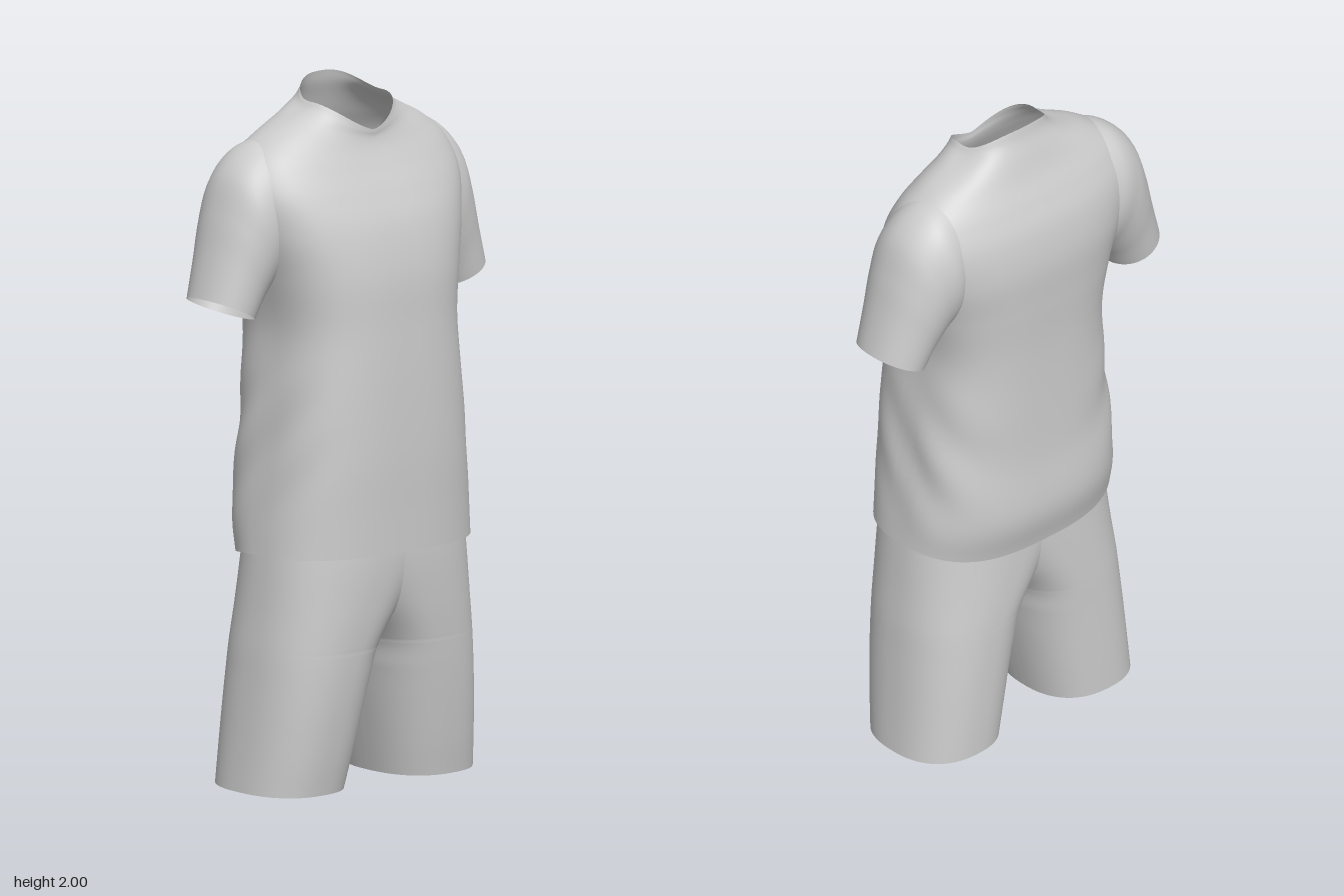
import * as THREE from 'three';

// Smooth interpolation through rows of numbers, by row index
function smoothRows(keys) {
  const interp = new THREE.CubicInterpolant(keys.map((_, i) => i), keys.flat(), keys[0].length);
  return (t) => Array.from(interp.evaluate(t));
}

// Surface from point(t, u): t runs over the rows, u in 0..1 runs round each section
function loft(point, tEnd, rows, cols, closed, flip) {
  const pos = [], index = [], w = closed ? cols : cols + 1;
  for (let j = 0; j <= rows; j++) {
    for (let i = 0; i < w; i++) pos.push(...point(tEnd * j / rows, i / cols));
  }
  for (let j = 0; j < rows; j++) {
    for (let i = 0; i < cols; i++) {
      const a = j * w + i, b = j * w + (i + 1) % w, c = a + w, d = b + w;
      if (flip) index.push(a, b, c, b, d, c);
      else index.push(a, c, b, b, c, d);
    }
  }
  const geo = new THREE.BufferGeometry();
  geo.setAttribute('position', new THREE.Float32BufferAttribute(pos, 3));
  geo.setIndex(index);
  geo.computeVertexNormals();
  return geo;
}

const power = (v, n) => Math.sign(v) * Math.abs(v) ** (2 / n);
const bump = (v, mid, width) => Math.exp(-(((v - mid) / width) ** 2));

// Shirt body sections: side y, front y, back y, half width, front z, back z, middle z, squareness
const bodyKeys = [
  [0.68, 0.68, 0.645, 0.358, 0.25, -0.22, 0.01, 2.6],
  [0.79, 0.79, 0.77, 0.348, 0.252, -0.247, 0.0, 2.7],
  [0.95, 0.95, 0.95, 0.33, 0.255, -0.237, 0.0, 2.8],
  [1.15, 1.15, 1.15, 0.311, 0.252, -0.235, 0.0, 2.8],
  [1.32, 1.32, 1.32, 0.3, 0.245, -0.237, -0.01, 2.8],
  [1.47, 1.47, 1.47, 0.328, 0.237, -0.245, -0.03, 2.7],
  [1.6, 1.6, 1.6, 0.37, 0.21, -0.25, -0.05, 2.6],
  [1.71, 1.69, 1.71, 0.393, 0.172, -0.235, -0.06, 2.5],
  [1.8, 1.76, 1.79, 0.362, 0.135, -0.205, -0.06, 2.4],
  [1.86, 1.81, 1.86, 0.29, 0.11, -0.172, -0.05, 2.3],
  [1.9, 1.84, 1.92, 0.21, 0.1, -0.15, -0.035, 2.2],
  [1.925, 1.857, 1.965, 0.158, 0.1, -0.133, -0.02, 2.2],
  [1.945, 1.865, 2.0, 0.137, 0.1, -0.125, -0.015, 2.2],
];
const bodyAt = smoothRows(bodyKeys);

function bodyPoint(t, u) {
  const [ys, yf, yb, a, zf, zb, zc, n] = bodyAt(t);
  const c = Math.cos(u * Math.PI * 2), s = Math.sin(u * Math.PI * 2);
  // The collar dips to a soft V in front and stands level behind
  const y = s > 0 ? yf + (ys - yf) * Math.abs(c) ** 1.3 : yb + (ys - yb) * Math.abs(c) ** 2.5;
  const x = a * power(c, n), z = zc + (s > 0 ? zf - zc : zc - zb) * power(s, n);
  // Soft diagonal drape folds low on the sides
  const fold = 0.01 * Math.sin((y - 1.2 * z) * 24) * bump(y, 0.98, 0.18) * (0.5 - 0.5 * s) * c * c;
  return [x + fold * c, y, z + fold * s];
}

// Sleeve sections: outer x, outer y, inner x, inner y, front z, back z
const sleeveKeys = [
  [0.26, 1.862, 0.22, 1.52, 0.06, -0.18],
  [0.345, 1.833, 0.265, 1.47, 0.08, -0.207],
  [0.415, 1.765, 0.3, 1.435, 0.08, -0.2],
  [0.455, 1.66, 0.322, 1.41, 0.072, -0.19],
  [0.485, 1.55, 0.34, 1.385, 0.062, -0.178],
  [0.52, 1.425, 0.36, 1.35, 0.053, -0.167],
];
const sleeveAt = smoothRows(sleeveKeys);
const sleevePoint = (side) => (t, u) => {
  const [ox, oy, ix, iy, zf, zb] = sleeveAt(t);
  const c = Math.cos(u * Math.PI * 2), s = Math.sin(u * Math.PI * 2), k = (1 + c) / 2;
  return [side * (ix + (ox - ix) * k), iy + (oy - iy) * k, (zf + zb) / 2 + (zf - zb) / 2 * power(s, 2.2)];
};

// Leg sections: y, outer x, inner x (below 0 where the legs merge), middle x, front z, back z
const legKeys = [
  [0.8, 0.335, -0.36, 0.02, 0.23, -0.2],
  [0.66, 0.349, -0.22, 0.06, 0.231, -0.203],
  [0.52, 0.362, -0.085, 0.115, 0.222, -0.205],
  [0.41, 0.374, -0.003, 0.16, 0.211, -0.206],
  [0.32, 0.381, 0.02, 0.188, 0.202, -0.206],
  [0.22, 0.389, 0.04, 0.212, 0.19, -0.206],
  [0.1, 0.399, 0.064, 0.232, 0.173, -0.206],
  [0, 0.408, 0.084, 0.246, 0.156, -0.205],
];
const legAt = smoothRows(legKeys);

// Each section runs from the front middle seam round the outside to the back,
// and closes on itself below the crotch
const legPoint = (side) => (t, u) => {
  const [y, xo, xi, xm, zf, zb] = legAt(t);
  const n = 2.4, inner = xm - xi;
  const reach = Math.PI / 2 + Math.asin(Math.min(1, xm / inner) ** (n / 2));
  const angle = reach * (1 - 2 * u);
  const c = Math.cos(angle), s = Math.sin(angle);
  const x = xm + (c > 0 ? xo - xm : inner) * power(c, n);
  const z = (zf + zb) / 2 + (zf - zb) / 2 * power(s, n);
  return [side * Math.max(0, x), y + 0.006 * (1 - s) * t / 7, z];
};

export function createModel() {
  const fabric = new THREE.MeshStandardMaterial({ color: 0xcccccc, side: THREE.DoubleSide });
  fabric.name = 'light grey fabric';

  const model = new THREE.Group();
  model.name = 'shirtAndShorts';
  const shirt = new THREE.Group();
  shirt.name = 'shirt';
  const shorts = new THREE.Group();
  shorts.name = 'shorts';
  model.add(shirt, shorts);

  const add = (group, name, geometry) => {
    const mesh = new THREE.Mesh(geometry, fabric);
    mesh.name = name;
    group.add(mesh);
  };

  add(shirt, 'shirtBody', loft(bodyPoint, bodyKeys.length - 1, 96, 96, true, false));

  for (const [side, label] of [[1, 'left'], [-1, 'right']]) {
    const flip = side < 0;
    add(shirt, label + 'Sleeve', loft(sleevePoint(side), sleeveKeys.length - 1, 40, 48, true, !flip));
    add(shorts, label + 'Leg', loft(legPoint(side), legKeys.length - 1, 84, 80, false, flip));
  }
  return model;
}
